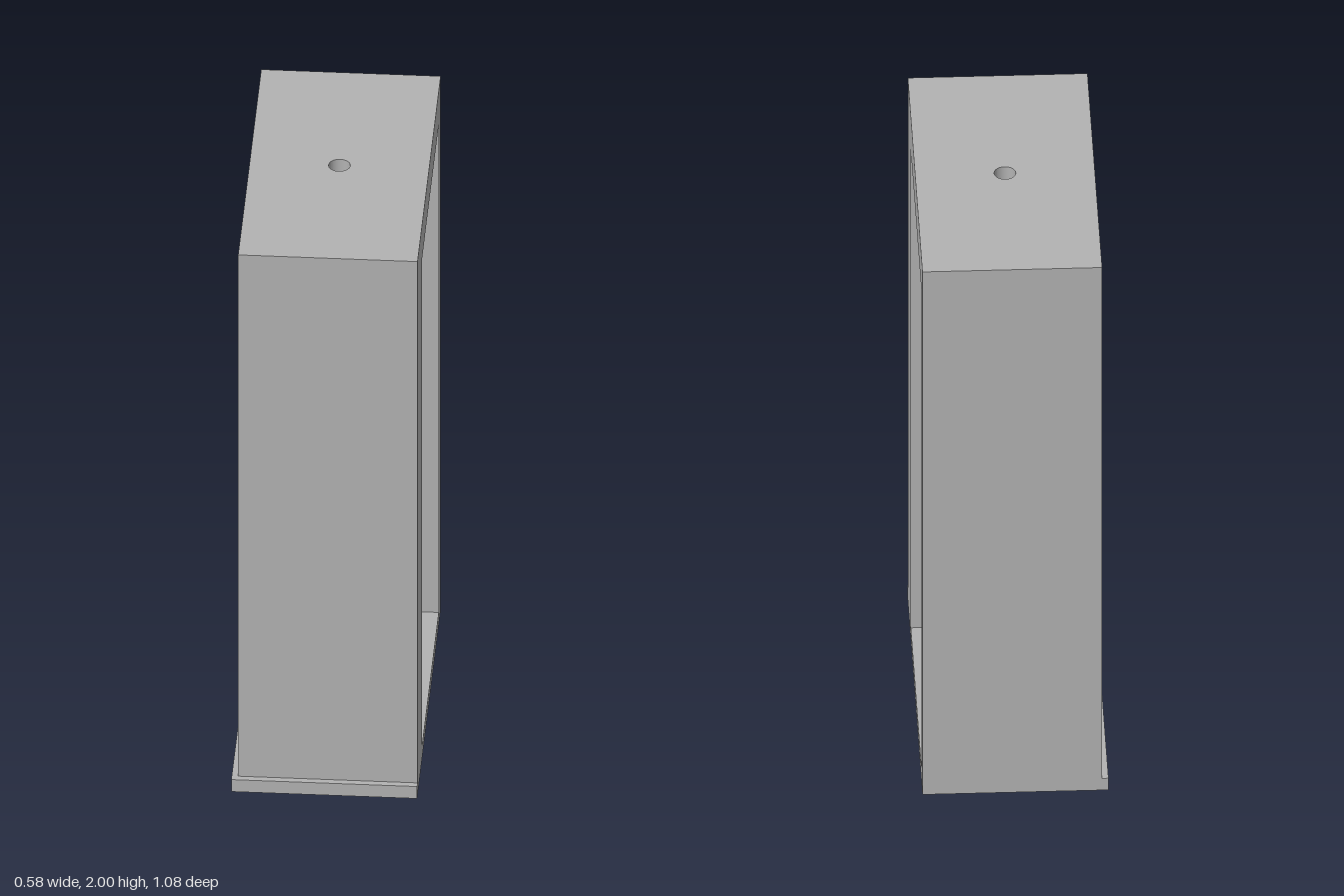
import * as THREE from 'three';

export function createModel() {
  const model = new THREE.Group();
  const grey = new THREE.MeshStandardMaterial({ color: 0xb2b2b2 });
  grey.name = 'grey';

  const add = (name, geometry) => {
    const mesh = new THREE.Mesh(geometry, grey);
    mesh.name = name;
    model.add(mesh);
    return mesh;
  };
  // box given by its lower and upper corners
  const block = (name, [x0, y0, z0], [x1, y1, z1]) => {
    const g = new THREE.BoxGeometry(x1 - x0, y1 - y0, z1 - z0);
    g.translate((x0 + x1) / 2, (y0 + y1) / 2, (z0 + z1) / 2);
    return add(name, g);
  };

  const right = 0.292, left = -0.272;    // frame sides
  const back = -0.542, front = 0.521;    // frame ends
  const baseTop = 0.045, lintel = 1.875, top = 2;

  // base plate, projecting at the front and on the -x side
  block('basePlate', [-0.292, 0, back], [right, baseTop, 0.542]);

  // deep front wall and thin back wall, with an open passage between
  block('frontWall', [left, baseTop, 0.307], [right, lintel, front]);
  block('backWall', [left, baseTop, back], [right, lintel, -0.456]);

  // top slab with a round hole through it (shape y becomes -z)
  const slab = new THREE.Shape([
    new THREE.Vector2(left, -front), new THREE.Vector2(right, -front),
    new THREE.Vector2(right, -back), new THREE.Vector2(left, -back),
  ]);
  const hole = new THREE.Path();
  hole.absarc(0.01, 0.012, 0.034, 0, Math.PI * 2, true);
  slab.holes.push(hole);
  const slabGeometry = new THREE.ExtrudeGeometry(slab, {
    depth: top - lintel, bevelEnabled: false, curveSegments: 32,
  });
  slabGeometry.rotateX(-Math.PI / 2);
  slabGeometry.translate(0, lintel, 0);
  add('topSlab', slabGeometry);

  return model;
}
